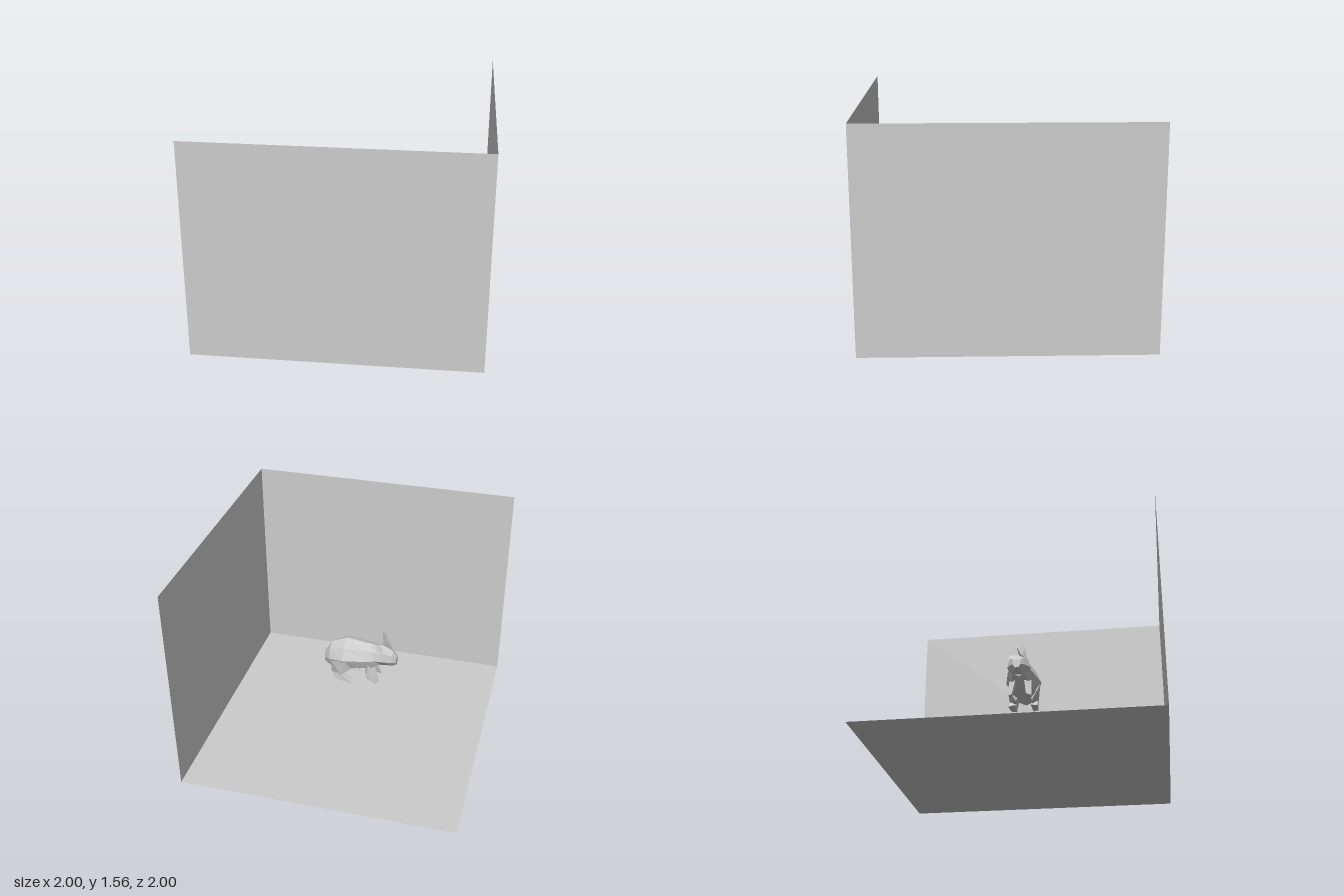
import * as THREE from 'three';
import { ConvexGeometry } from 'three/addons/geometries/ConvexGeometry.js';

const MID_Z = -0.02; // symmetry plane of the rabbit
const flat = new THREE.MeshStandardMaterial({ color: 0xcccccc, flatShading: true });
const sheet = new THREE.MeshStandardMaterial({ color: 0xcccccc, side: THREE.DoubleSide });

function part(parent, name, geometry, material = flat) {
  const mesh = new THREE.Mesh(geometry, material);
  mesh.name = name;
  parent.add(mesh);
  return mesh;
}

// Closed skin over elliptical rings strung along x: [x, centreY, radiusY, radiusZ]
function loft(rings, sides = 8) {
  const pos = [], index = [];
  for (const [x, y, ry, rz] of rings) {
    for (let j = 0; j < sides; j++) {
      const a = (j / sides) * Math.PI * 2;
      pos.push(x, y + ry * Math.cos(a), MID_Z + rz * Math.sin(a));
    }
  }
  const last = (rings.length - 1) * sides;
  for (let j = 0; j < sides; j++) {
    const k = (j + 1) % sides;
    for (let o = 0; o < last; o += sides) {
      index.push(o + j, o + k, o + sides + k, o + j, o + sides + k, o + sides + j);
    }
    if (j > 0 && j < sides - 1) {
      index.push(0, k, j, last, last + j, last + k);
    }
  }
  const g = new THREE.BufferGeometry();
  g.setAttribute('position', new THREE.Float32BufferAttribute(pos, 3));
  g.setIndex(index);
  g.computeVertexNormals();
  return g;
}

// Faceted solid around a few corner points
const hull = (points) => new ConvexGeometry(points.map((p) => new THREE.Vector3(...p)));

export function createModel() {
  const model = new THREE.Group();

  // Floor and the two walls that meet at the +x, +z corner
  const floor = part(model, 'floor', new THREE.PlaneGeometry(2, 2), sheet);
  floor.rotation.x = -Math.PI / 2;
  const frontWall = part(model, 'frontWall', new THREE.PlaneGeometry(2, 1.56), sheet);
  frontWall.position.set(0, 0.78, 1);
  const sideWall = part(model, 'sideWall', new THREE.PlaneGeometry(2, 1.56), sheet);
  sideWall.rotation.y = Math.PI / 2;
  sideWall.position.set(1, 0.78, 0);

  // Faceted rabbit above the floor, facing -x
  const rabbit = new THREE.Group();
  rabbit.name = 'rabbit';
  model.add(rabbit);

  part(rabbit, 'body', loft([
    [-0.24, 0.665, 0.07, 0.06],
    [-0.17, 0.655, 0.1, 0.09],
    [0.03, 0.655, 0.125, 0.13],
    [0.14, 0.63, 0.1, 0.09],
    [0.19, 0.6, 0.05, 0.035],
  ]));
  part(rabbit, 'head', loft([
    [-0.35, 0.645, 0.035, 0.028],
    [-0.32, 0.66, 0.06, 0.05],
    [-0.24, 0.68, 0.08, 0.085],
    [-0.17, 0.67, 0.07, 0.075],
  ], 7));

  // One ear upright, the other folded back
  part(rabbit, 'uprightEar', hull([
    [-0.31, 0.72, 0.01], [-0.26, 0.72, 0.04], [-0.25, 0.72, -0.01],
    [-0.27, 0.81, -0.03], [-0.24, 0.81, 0.03], [-0.26, 0.865, -0.02], [-0.23, 0.865, 0.01],
  ]));
  part(rabbit, 'foldedEar', hull([
    [-0.27, 0.72, -0.04], [-0.26, 0.72, -0.08], [-0.24, 0.75, -0.04],
    [-0.22, 0.75, -0.1], [-0.2, 0.785, -0.06], [-0.17, 0.785, -0.1],
  ]));

  part(rabbit, 'tail', new THREE.IcosahedronGeometry(0.028, 0)).position.set(0.165, 0.64, 0.01);

  // Legs, mirrored about the rabbit's midline
  for (const s of [-1, 1]) {
    const side = s > 0 ? 'Left' : 'Right';
    const z = (d) => MID_Z + s * d;
    part(rabbit, 'foreleg' + side, hull([
      [-0.19, 0.6, z(0.03)], [-0.11, 0.6, z(0.03)], [-0.15, 0.6, z(0.08)],
      [-0.18, 0.5, z(0.05)], [-0.14, 0.5, z(0.08)],
      [-0.23, 0.465, z(0.05)], [-0.21, 0.46, z(0.085)], [-0.14, 0.48, z(0.06)],
    ]));
    part(rabbit, 'thigh' + side, hull([
      [0.02, 0.66, z(0.125)], [-0.03, 0.58, z(0.11)], [0.12, 0.62, z(0.1)],
      [0.02, 0.52, z(0.06)], [0.13, 0.5, z(0.06)], [0.05, 0.51, z(0.105)], [0.08, 0.6, z(0.03)],
    ]));
    part(rabbit, 'hindFoot' + side, hull([
      [0.12, 0.53, z(0.06)], [0.06, 0.53, z(0.1)], [0.11, 0.465, z(0.06)],
      [0.09, 0.465, z(0.1)], [-0.06, 0.45, z(0.06)], [-0.04, 0.45, z(0.105)], [0, 0.485, z(0.08)],
    ]));
  }
  return model;
}
